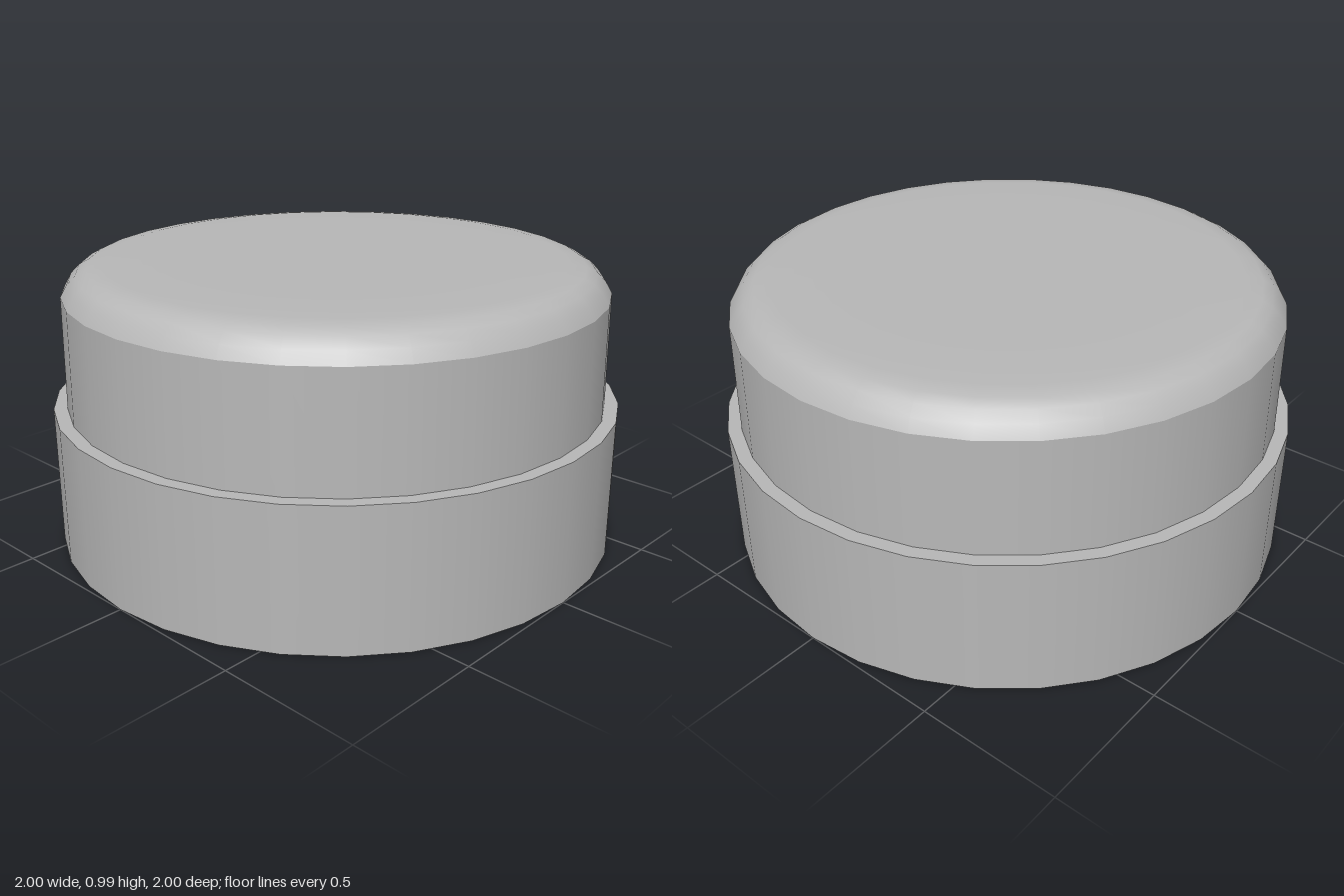
import * as THREE from 'three';

const SIDES = 32;

export function createModel() {
  const group = new THREE.Group();
  const grey = new THREE.MeshStandardMaterial({ color: 0xb8b8b8 });
  grey.name = 'plain grey';

  const add = (name, geometry, y = 0) => {
    const mesh = new THREE.Mesh(geometry, grey);
    mesh.name = name;
    mesh.position.y = y;
    group.add(mesh);
  };
  const lathe = (points) =>
    new THREE.LatheGeometry(points.map(([r, y]) => new THREE.Vector2(r, y)), SIDES);

  // Wide lower body with a flat underside and a narrow ledge on top
  add('base', new THREE.CylinderGeometry(1, 1, 0.49, SIDES), 0.245);

  // Slightly narrower wall rising from the ledge
  add('capWall', lathe([[0.953, 0.485], [0.948, 0.885]]));

  // Rounded shoulder closing into the flat top
  add('capTop', lathe([
    [0.948, 0.885], [0.925, 0.925], [0.895, 0.955], [0.86, 0.973],
    [0.8, 0.982], [0.6, 0.984], [0, 0.985],
  ]));

  return group;
}
